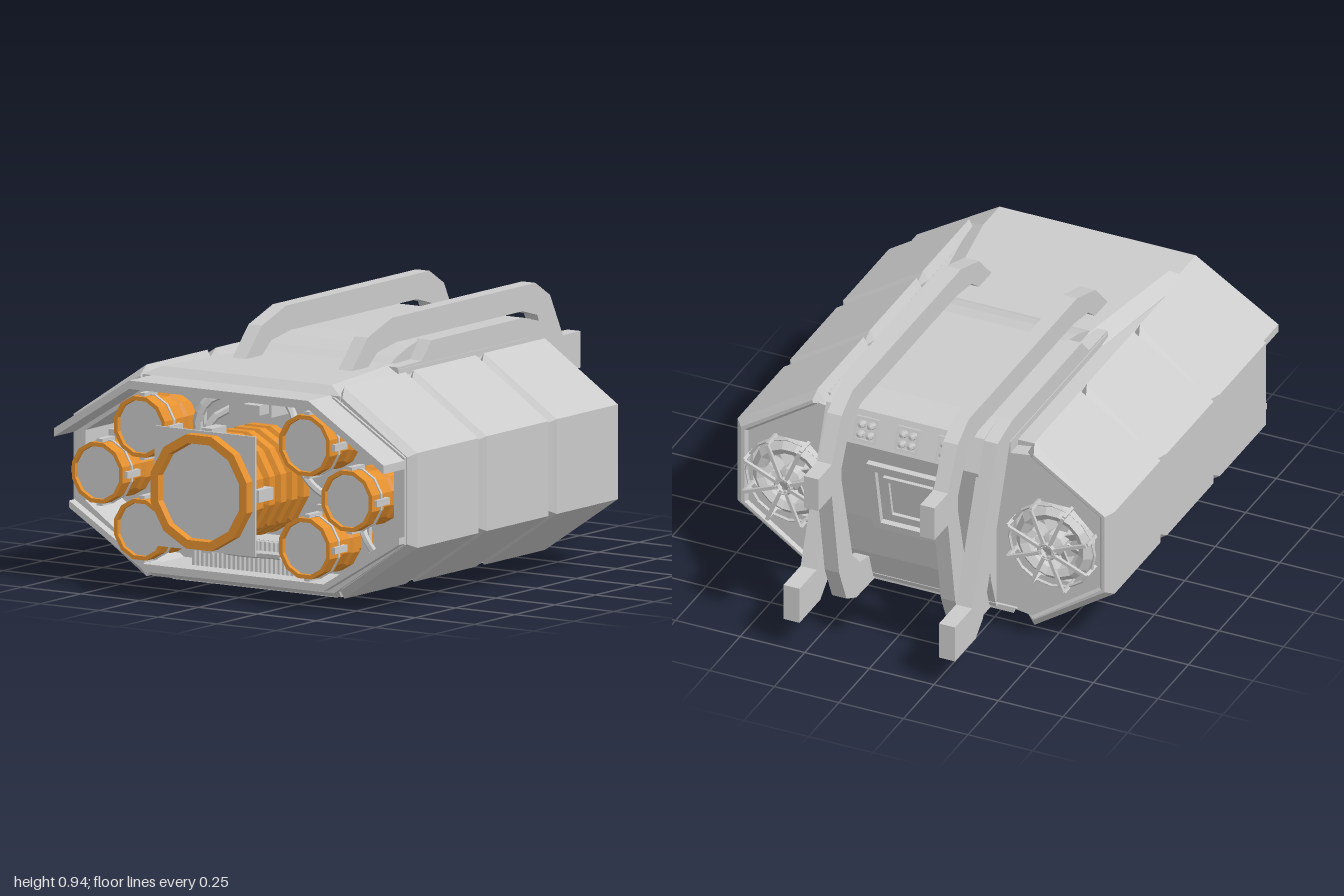
import * as THREE from 'three';
import { ConvexGeometry } from 'three/addons/geometries/ConvexGeometry.js';

const grey = new THREE.MeshStandardMaterial({ color: 0xcccccc, flatShading: true, side: THREE.DoubleSide });
const orange = new THREE.MeshStandardMaterial({ color: 0xe6912f, flatShading: true, side: THREE.DoubleSide });

export function createModel() {
  const root = new THREE.Group();
  const add = (name, geo, mat = grey, parent = root) => {
    const m = new THREE.Mesh(geo, mat);
    m.name = name;
    parent.add(m);
    return m;
  };
  const box = (name, x0, x1, y0, y1, z0, z1, mat = grey, parent = root) => add(name,
    new THREE.BoxGeometry(x1 - x0, y1 - y0, z1 - z0).translate((x0 + x1) / 2, (y0 + y1) / 2, (z0 + z1) / 2), mat, parent);
  const shapeOf = pts => new THREE.Shape(pts.map(p => new THREE.Vector2(...p)));
  // outline in x,y pushed along z, with an optional chamfer kept inside the outline
  const alongZ = (pts, z0, z1, hole = null, bevel = 0) => {
    const s = shapeOf(pts);
    if (hole) s.holes.push(shapeOf(hole));
    return new THREE.ExtrudeGeometry(s, {
      depth: z1 - z0 - 2 * bevel, bevelEnabled: bevel > 0, bevelSize: bevel,
      bevelThickness: bevel, bevelOffset: -bevel, bevelSegments: 1
    }).translate(0, 0, z0 + bevel);
  };
  // outline in z,y pushed along x
  const alongX = (pts, x0, x1) => new THREE.ExtrudeGeometry(shapeOf(pts), { depth: x1 - x0, bevelEnabled: false })
    .rotateY(-Math.PI / 2).translate(x1, 0, 0);
  const mirrored = pts => [...pts, ...pts.map(([x, y]) => [-x, y]).reverse()];
  const ngon = (cx, cy, r, n) => Array.from({ length: n }, (_, i) => {
    const a = (i + 0.5) * 2 * Math.PI / n;
    return [cx + r * Math.cos(a), cy + r * Math.sin(a)];
  });
  // turned part facing +z, profile of [radius, z]
  const turned = (pts, n = 12) => new THREE.LatheGeometry(pts.map(p => new THREE.Vector2(...p)), n, Math.PI / n)
    .rotateX(Math.PI / 2);

  // hull core and the rim round the front recess
  const hull = mirrored([[0.4, 0.75], [0.7, 0.565], [0.7, 0.255], [0.4, 0.055]]);
  const opening = mirrored([[0.37, 0.715], [0.655, 0.535], [0.655, 0.285], [0.37, 0.085]]);
  add('hullCore', alongZ(hull, -0.49, 0.55));
  add('frontRim', alongZ(hull, 0.55, 0.745, opening));

  // front visor and lower lip
  const band = (y0, y1, t) => [[-0.7, y0], [-0.38, y1], [0.38, y1], [0.7, y0],
    [0.7, y0 + t], [0.38, y1 + t], [-0.38, y1 + t], [-0.7, y0 + t]];
  add('visor', alongZ(band(0.555, 0.755, -0.03), 0.7, 0.875));
  add('lowerLip', alongZ(band(0.26, 0.065, 0.025), 0.7, 0.78));

  // roof wedge and deck
  const wedge = [];
  for (const s of [-1, 1]) for (const [x, y, z] of [[0.36, 0.785, 0.7], [0.28, 0.785, 0.2], [0.42, 0.755, 0.735],
    [0.42, 0.7, 0.735], [0.34, 0.72, 0.2], [0.34, 0.75, 0.2]]) wedge.push(new THREE.Vector3(s * x, y, z));
  add('roofWedge', new ConvexGeometry(wedge));
  box('roofDeck', -0.335, 0.335, 0.7, 0.775, -0.55, 0.25);

  // raised spine that wraps down the back
  add('spine', alongX([[0.25, 0.77], [0.18, 0.805], [0.11, 0.83], [0.03, 0.848], [-0.53, 0.85], [-0.65, 0.825],
    [-0.7, 0.71], [-0.63, 0.37], [-0.59, 0.2], [-0.55, 0.08], [0.1, 0.08]], -0.28, 0.28));

  // underside
  add('belly', new ConvexGeometry([-1, 1].flatMap(s => [[0.4, 0.035, 0.7], [0.41, 0.08, 0.74], [0.4, 0.035, -0.45],
    [0.36, 0.1, -0.56]].map(([x, y, z]) => new THREE.Vector3(s * x, y, z)))));
  const bellyPlate = (name, w0, z0, w1, z1, y) => add(name, new ConvexGeometry([-1, 1].flatMap(s =>
    [0, 1].flatMap(t => [[w0, z0], [w1, z1]].map(([w, z]) => new THREE.Vector3(s * w, t ? 0.05 : y, z))))));
  bellyPlate('frontBellyPlate', 0.35, 0.65, 0.24, 0.27, 0.022);
  bellyPlate('rearBellyPlate', 0.17, 0.19, 0.3, -0.45, 0.003);

  for (const s of [-1, 1]) {
    const flip = pts => pts.map(([x, y]) => [s * x, y]);
    const spanX = (a, b) => s > 0 ? [a, b] : [-b, -a];

    // three chamfered armour sections per side
    const armour = flip([[0.42, 0.785], [0.73, 0.58], [0.73, 0.243], [0.42, 0.033], [0.39, 0.08],
      [0.665, 0.275], [0.665, 0.545], [0.39, 0.73]]);
    [[0.305, 0.735], [-0.13, 0.305], [-0.56, -0.13]].forEach(([a, b]) =>
      add('sideArmour', alongZ(armour, a, b, null, 0.026)));

    // rear bulkhead with a caged turbine
    const cx = s * 0.51, cy = 0.41;
    add('rearBulkhead', alongZ(flip([[0.28, 0.72], [0.42, 0.74], [0.69, 0.56], [0.69, 0.26], [0.42, 0.08], [0.28, 0.1]]),
      -0.55, -0.48, ngon(cx, cy, 0.165, 8)));
    const fan = new THREE.Group();
    fan.name = 'rearTurbine';
    fan.position.set(cx, cy, -0.5);
    fan.rotation.y = Math.PI;
    root.add(fan);
    add('turbineRing', turned([[0.16, 0], [0.15, 0.06], [0.125, 0.085], [0.1, 0.07], [0.09, 0]], 16), grey, fan);
    add('turbineHub', turned([[0.045, 0], [0.045, 0.08], [0, 0.1]]), grey, fan);
    for (let i = 0; i < 8; i++) {
      const spoke = new THREE.Group();
      spoke.rotation.z = (i + 0.5) * Math.PI / 4;
      fan.add(spoke);
      box('cageSpoke', 0.02, 0.165, -0.006, 0.006, 0.118, 0.13, grey, spoke);
      box('cagePost', 0.16, 0.172, -0.006, 0.006, 0.03, 0.122, grey, spoke);
      const blade = box('turbineBlade', 0.03, 0.1, -0.02, 0.02, -0.003, 0.003, grey, spoke);
      blade.position.z = 0.035;
      blade.rotation.x = 0.6;
    }
    add('cageRing', new THREE.TorusGeometry(0.165, 0.006, 4, 16).translate(0, 0, 0.08), grey, fan);
    add('cageHub', new THREE.TorusGeometry(0.03, 0.008, 4, 12).translate(0, 0, 0.124), grey, fan);

    // tall inner rail with its upper hook
    add('innerRail', alongX([[0.43, 0.775], [0.32, 0.89], [0.17, 0.94], [-0.72, 0.94], [-0.81, 0.885], [-0.89, 0.73],
      [-1, 0.73], [-1, 0.6], [-0.89, 0.6], [-0.83, 0.25], [-0.77, 0.11], [-0.69, 0.07], [-0.54, 0.065], [-0.54, 0.17],
      [-0.66, 0.2], [-0.72, 0.26], [-0.81, 0.62], [-0.81, 0.67], [-0.73, 0.825], [-0.64, 0.85], [0.14, 0.85],
      [0.26, 0.83], [0.33, 0.775]], ...spanX(0.197, 0.253)));

    // low outer arm with its lower hook
    add('outerArm', alongX([[0.25, 0.74], [0.25, 0.782], [0.1, 0.785], [0.04, 0.85], [-0.53, 0.85], [-0.65, 0.82],
      [-0.86, 0.26], [-1, 0.26], [-1, 0.12], [-0.83, 0.12], [-0.77, 0.17], [-0.55, 0.77], [-0.5, 0.74]],
      ...spanX(0.27, 0.332)));
  }

  // rear panel: stepped hatch and small vents on the sloped back
  const back = new THREE.Group();
  back.name = 'rearPanel';
  back.position.set(0, 0.5, -0.658);
  back.rotation.set(0.2, Math.PI, 0, 'YXZ');
  root.add(back);
  const frame = (w, h, t) => mirrored([[w, h], [w, -h]]).concat() && [
    mirrored([[w, h], [w, -h]]), mirrored([[w - t, h - t], [w - t, t - h]])];
  [[0.15, 0.15, 0.03, 0.02], [0.095, 0.095, 0.02, 0.012]].forEach(([w, h, t, d]) => {
    const [outer, inner] = frame(w, h, t);
    add('hatchFrame', alongZ(outer, -0.01, d, inner), grey, back);
  });
  for (const x of [-0.16, 0, 0.16]) {
    const [outer, inner] = frame(0.045, 0.045, 0.01);
    const vent = new THREE.Group();
    vent.name = 'rearVent';
    vent.position.set(x, 0.765, -0.68);
    vent.rotation.set(-0.35, Math.PI, 0, 'YXZ');
    root.add(vent);
    add('ventFrame', alongZ(outer, -0.03, 0.012, inner), grey, vent);
    for (const u of [-1, 1]) for (const v of [-1, 1])
      add('ventKnob', turned([[0.013, -0.02], [0.013, 0.02], [0, 0.025]], 8).translate(u * 0.018, v * 0.018, 0), grey, vent);
  }

  // six small lamps with square mounts and clips
  const lampSpots = [-1, 1].flatMap(s => [[s * 0.35, 0.59], [s * 0.53, 0.41], [s * 0.35, 0.225]]);
  for (const [x, y] of lampSpots) {
    const lamp = new THREE.Group();
    lamp.name = 'smallLamp';
    lamp.position.set(x, y, 0);
    root.add(lamp);
    box('lampMount', -0.113, 0.113, -0.113, 0.113, 0.6, 0.62, grey, lamp);
    add('lampBarrel', turned([[0.085, 0.55], [0.085, 0.64], [0.105, 0.66], [0.105, 0.7], [0.095, 0.71], [0.095, 0.77],
      [0.111, 0.78], [0.111, 0.855], [0.096, 0.855], [0.096, 0.83]]), orange, lamp);
    add('lampLens', turned([[0.097, 0.838], [0, 0.838]]), grey, lamp);
    add('lampBand', turned([[0.1, 0.795], [0.115, 0.795], [0.115, 0.805], [0.1, 0.805]]), grey, lamp);
    for (let i = 0; i < 4; i++)
      box('lampClip', -0.012, 0.012, 0.1, 0.119, 0.76, 0.84, grey, lamp).rotation.z = i * Math.PI / 2;
  }

  // large central lamp
  const main = new THREE.Group();
  main.name = 'mainLamp';
  main.position.set(0, 0.41, 0);
  root.add(main);
  const ribs = [0.58, 0.65, 0.72, 0.79].flatMap(z => [[0.17, z], [0.195, z + 0.01], [0.195, z + 0.045], [0.17, z + 0.055]]);
  add('mainBarrel', turned([[0.15, 0.55], ...ribs, [0.185, 0.87], [0.2, 0.88], [0.21, 0.96], [0.21, 1], [0.178, 1],
    [0.172, 0.965]]), orange, main);
  add('mainLens', turned([[0.176, 0.975], [0, 0.975]]), grey, main);
  add('mainMount', alongZ(mirrored([[0.213, 0.213], [0.213, -0.213]]), 0.952, 0.962, ngon(0, 0, 0.19, 12)), grey, main);
  for (let i = 0; i < 4; i++)
    box('mainClip', -0.022, 0.022, 0.18, 0.222, 0.86, 0.95, grey, main).rotation.z = i * Math.PI / 2;

  // cooling grille under the main lamp
  box('grilleBase', -0.235, 0.22, 0.09, 0.2, 0.55, 0.66);
  for (let i = 0; i < 24; i++) box('grilleFin', -0.232 + i * 0.019, -0.222 + i * 0.019, 0.09, 0.2, 0.66, 0.7);
  box('upperBracket', -0.09, 0.09, 0.64, 0.715, 0.55, 0.68);
  box('upperValve', 0.01, 0.08, 0.655, 0.69, 0.68, 0.74);
  box('sideJunction', -0.41, -0.26, 0.35, 0.48, 0.55, 0.6);
  box('sideBlock', 0.24, 0.41, 0.33, 0.48, 0.55, 0.58);

  // hoses in the recess
  const hose = (pts, r = 0.014) => add('hose', new THREE.TubeGeometry(new THREE.CatmullRomCurve3(
    pts.map(p => new THREE.Vector3(...p))), 20, r, 6));
  hose([[-0.08, 0.7, 0.6], [-0.16, 0.69, 0.68], [-0.205, 0.62, 0.7], [-0.22, 0.5, 0.68], [-0.3, 0.46, 0.68],
    [-0.38, 0.44, 0.68], [-0.4, 0.35, 0.6]], 0.018);
  hose([[-0.1, 0.66, 0.6], [-0.18, 0.6, 0.66], [-0.23, 0.4, 0.68], [-0.22, 0.25, 0.66], [-0.12, 0.17, 0.72], [0.16, 0.16, 0.72]]);
  hose([[0.1, 0.69, 0.6], [0.19, 0.64, 0.68], [0.22, 0.5, 0.7], [0.28, 0.42, 0.7], [0.41, 0.34, 0.66]]);
  hose([[0.44, 0.32, 0.62], [0.47, 0.26, 0.66], [0.52, 0.17, 0.64]]);
  return root;
}
